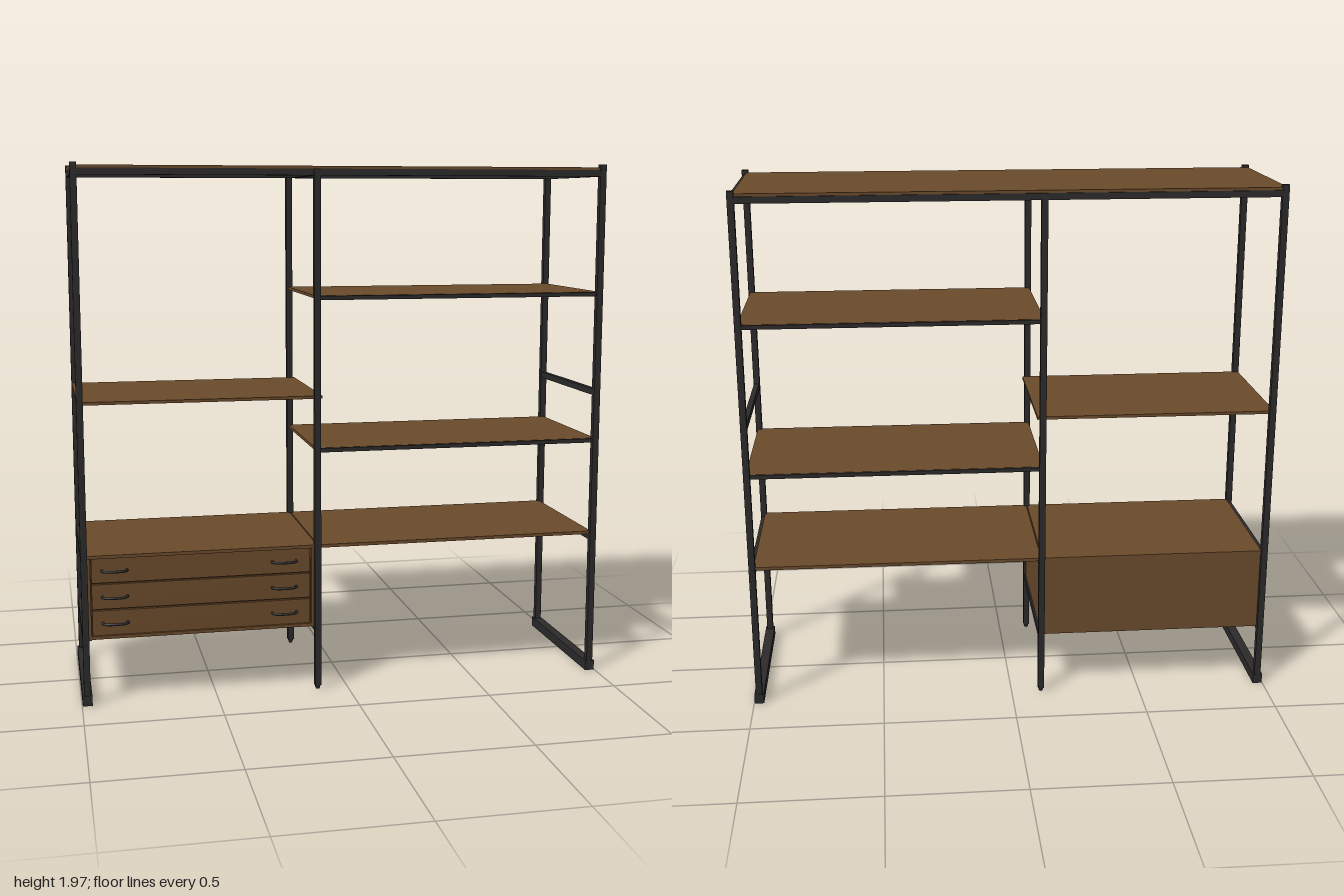
import * as THREE from 'three';

export function createModel() {
  const model = new THREE.Group();
  model.name = 'shelvingUnit';
  const wood = new THREE.MeshStandardMaterial({ name: 'walnutWood', color: 0x6b4a2b });
  const darkWood = new THREE.MeshStandardMaterial({ name: 'shadowGapWood', color: 0x412c19 });
  const metal = new THREE.MeshStandardMaterial({ name: 'blackMetal', color: 0x2c2a2b });

  // Box given by its low and high limits on each axis
  function box(name, material, [x0, x1], [y0, y1], [z0, z1], parent = model) {
    const mesh = new THREE.Mesh(new THREE.BoxGeometry(x1 - x0, y1 - y0, z1 - z0), material);
    mesh.position.set((x0 + x1) / 2, (y0 + y1) / 2, (z0 + z1) / 2);
    mesh.name = name;
    parent.add(mesh);
    return mesh;
  }

  const LEFT = -0.98, MID = -0.115, RIGHT = 0.98, DEPTH = 0.29, R = 0.012;

  // Posts, with rounded glides under the middle pair
  for (const z of [-DEPTH, DEPTH]) {
    for (const x of [LEFT, RIGHT]) {
      box('endPost', metal, [x - R, x + R], [0.03, 1.97], [z - R, z + R]);
    }
    box('middlePost', metal, [MID - R, MID + R], [0.015, 1.95], [z - R, z + R]);
    const glide = new THREE.Mesh(new THREE.CylinderGeometry(R, 0.007, 0.015, 12), metal);
    glide.name = 'glide';
    glide.position.set(MID, 0.0075, z);
    model.add(glide);
  }

  // Floor runners at both ends
  for (const x of [LEFT, RIGHT]) {
    box('floorRunner', metal, [x - 0.018, x + 0.018], [0, 0.038], [-0.305, 0.305]);
  }

  // Top frame and top board
  for (const z of [-DEPTH, DEPTH]) {
    box('topRail', metal, [LEFT, RIGHT], [1.926, 1.95], [z - 0.01, z + 0.01]);
  }
  for (const x of [LEFT, MID, RIGHT]) {
    box('topCrossRail', metal, [x - 0.01, x + 0.01], [1.926, 1.95], [-DEPTH, DEPTH]);
  }
  box('topBoard', wood, [-0.99, 0.975], [1.95, 1.96], [-0.295, 0.295]);

  // Side rails between front and back posts
  function sideRail(x, y) {
    box('sideRail', metal, [x - 0.01, x + 0.01], [y - 0.012, y + 0.012], [-DEPTH, DEPTH]);
  }
  sideRail(RIGHT, 1.108);
  for (const x of [LEFT, MID, RIGHT]) sideRail(x, 0.537);
  for (const x of [LEFT, MID]) sideRail(x, 0.236);

  // Right shelves: board, edge rails and ribs underneath
  for (const y of [0.92, 1.485]) {
    const shelf = new THREE.Group();
    shelf.name = 'framedShelf';
    model.add(shelf);
    box('shelfBoard', wood, [-0.12, 0.985], [y - 0.003, y + 0.008], [-0.283, 0.283], shelf);
    for (const z of [-0.286, 0.286]) {
      box('shelfEdgeRail', metal, [-0.12, 0.985], [y - 0.008, y + 0.007], [z - 0.005, z + 0.005], shelf);
    }
    for (let i = 0; i < 7; i++) {
      const x = 0.02 + i * 0.138;
      box('shelfRib', metal, [x - 0.009, x + 0.009], [y - 0.008, y - 0.003], [-0.28, 0.28], shelf);
    }
  }

  // Plain left shelf
  box('leftShelf', wood, [-0.99, -0.095], [1.113, 1.124], [-0.285, 0.285]);

  // Work surface in two boards with a fine joint
  box('cabinetTop', wood, [-0.97, MID - 0.002], [0.549, 0.561], [-0.29, 0.29]);
  box('deskBoard', wood, [MID + 0.002, 0.975], [0.549, 0.561], [-0.29, 0.29]);

  // Drawer case
  const cabinet = new THREE.Group();
  cabinet.name = 'drawerCabinet';
  model.add(cabinet);
  const caseX = [-0.972, -0.123], caseY = [0.24, 0.549], caseZ = [-0.275, 0.28];
  box('caseLeftSide', wood, [caseX[0], caseX[0] + 0.014], caseY, caseZ, cabinet);
  box('caseRightSide', wood, [caseX[1] - 0.014, caseX[1]], caseY, caseZ, cabinet);
  box('caseBottom', wood, caseX, [0.243, 0.255], [-0.274, 0.279], cabinet);
  box('caseBack', wood, caseX, caseY, [-0.285, -0.273], cabinet);
  box('caseInterior', darkWood, [-0.96, -0.135], [0.255, 0.548], [0.25, 0.26], cabinet);
  box('caseSupport', metal, [LEFT, MID], [0.226, 0.246], [-0.025, 0.025], cabinet);
  // Side infill seen from beside the middle posts
  box('sideInfill', wood, [MID - 0.008, MID + 0.003], [0.246, 0.527], [-0.278, 0.278], cabinet);

  // Three drawer fronts, each with two bow handles
  for (let i = 0; i < 3; i++) {
    const y = 0.303 + i * 0.099;
    box('drawerFront', wood, [-0.954, -0.141], [y - 0.0465, y + 0.0465], [0.26, 0.274], cabinet);
    for (const x of [-0.87, -0.24]) {
      const path = new THREE.CatmullRomCurve3([
        [-0.046, 0.272], [-0.043, 0.292], [-0.025, 0.302], [0.025, 0.302], [0.043, 0.292], [0.046, 0.272],
      ].map(([dx, z]) => new THREE.Vector3(x + dx, y, z)));
      const handle = new THREE.Mesh(new THREE.TubeGeometry(path, 20, 0.005, 8), metal);
      handle.name = 'drawerHandle';
      cabinet.add(handle);
    }
  }
  return model;
}
